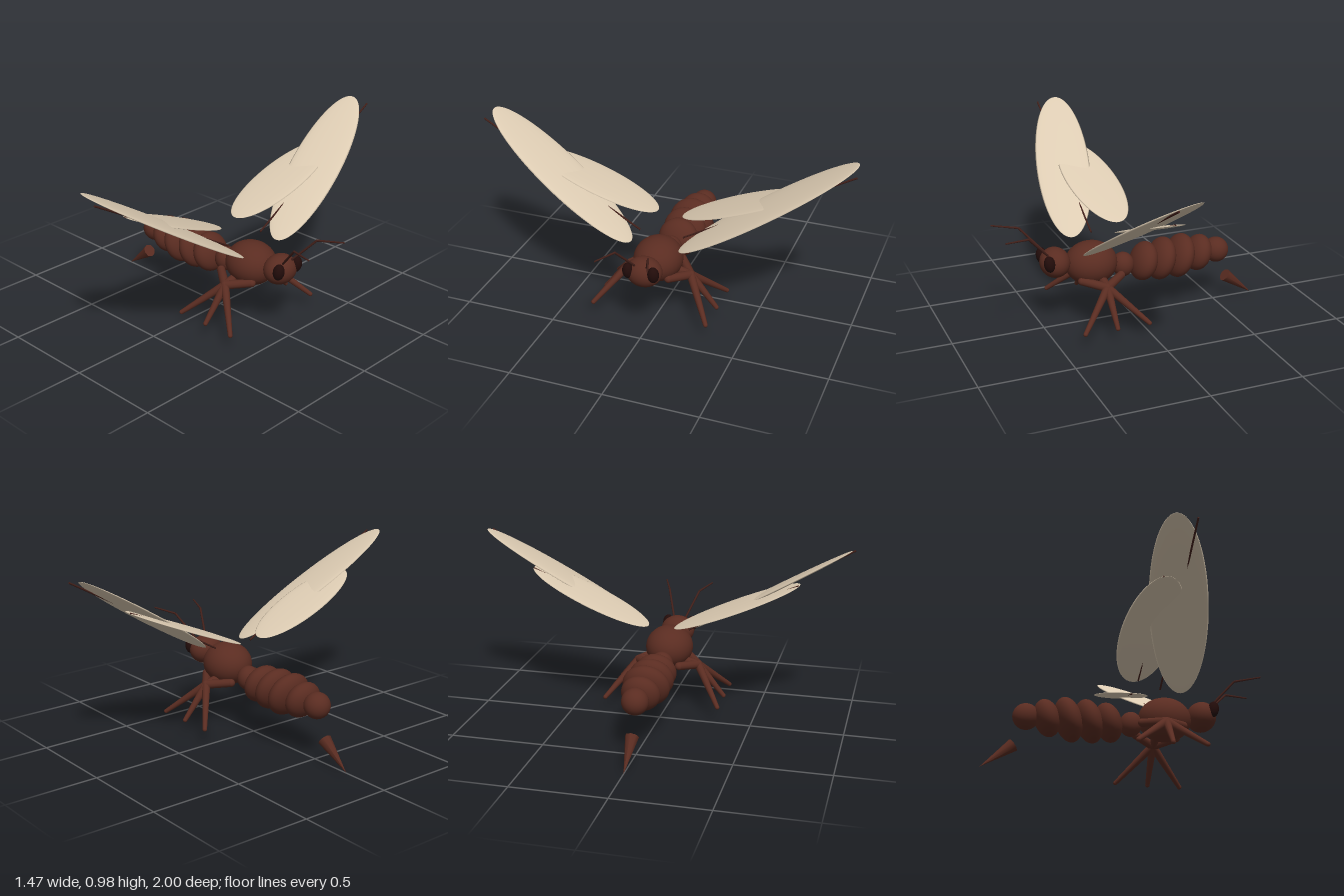
import * as THREE from 'three';

const mat = (name, color) => Object.assign(new THREE.MeshStandardMaterial({ color }), { name });

export function createModel() {
  const shell = mat('brown shell', 0x5a2c21);
  const dark = mat('dark eye', 0x220c0a);
  const vein = mat('dark limb', 0x42201a);
  const wingMat = mat('cream wing', 0xdccbb2);

  const model = new THREE.Group();
  model.name = 'wasp';
  const V = (a) => new THREE.Vector3(...a);
  const ball = new THREE.SphereGeometry(1, 32, 20);
  const wingBall = new THREE.SphereGeometry(1, 20, 32).rotateX(Math.PI / 2);

  function ellipsoid(name, material, pos, radii, geometry = ball) {
    const mesh = new THREE.Mesh(geometry, material);
    mesh.name = name;
    mesh.position.set(...pos);
    mesh.scale.set(...radii);
    model.add(mesh);
    return mesh;
  }

  // Tapered rod between two points
  function rod(name, material, from, to, r0, r1, sides = 12) {
    const a = V(from), b = V(to), dir = b.clone().sub(a);
    const mesh = new THREE.Mesh(new THREE.CylinderGeometry(r1, r0, dir.length(), sides), material);
    mesh.name = name;
    mesh.position.copy(a).add(b).multiplyScalar(0.5);
    mesh.quaternion.setFromUnitVectors(new THREE.Vector3(0, 1, 0), dir.normalize());
    model.add(mesh);
  }

  // Rod with rounded ends
  function limb(name, from, to, r0, r1) {
    rod(name, shell, from, to, r0, r1);
    ellipsoid(name + 'Top', shell, from, [r0, r0, r0]);
    ellipsoid(name + 'End', shell, to, [r1, r1, r1]);
  }

  // Body
  ellipsoid('head', shell, [0.43, 0.367, 0], [0.08, 0.08, 0.095]);
  ellipsoid('thorax', shell, [0.228, 0.335, 0], [0.142, 0.117, 0.13]);
  ellipsoid('waist', shell, [0.045, 0.295, 0], [0.06, 0.067, 0.062]);

  // Leaning abdomen rings: x, half thickness, height radius, width radius
  [[-0.075, 0.068, 0.107, 0.11], [-0.178, 0.068, 0.118, 0.12],
    [-0.287, 0.068, 0.121, 0.125], [-0.4, 0.066, 0.101, 0.102],
    [-0.51, 0.07, 0.07, 0.07]].forEach(([x, rx, ry, rz], i) => {
    ellipsoid('abdomenRing' + (i + 1), shell, [x, 0.295, 0], [rx, ry, rz]).rotation.z = 0.33;
  });

  // Stinger
  rod('stinger', shell, [-0.57, 0.13, 0], [-0.735, 0, 0], 0.036, 0, 8);

  for (const s of [1, -1]) {
    const side = s > 0 ? 'right' : 'left';

    ellipsoid(side + 'Eye', dark, [0.48, 0.388, 0.068 * s], [0.03, 0.045, 0.03]).rotation.z = -0.15;

    // Antenna
    const elbow = [0.595, 0.552, 0.088 * s];
    rod(side + 'AntennaBase', vein, [0.47, 0.415, 0.03 * s], elbow, 0.006, 0.006, 8);
    rod(side + 'AntennaTip', vein, elbow, [0.73, 0.567, 0.137 * s], 0.006, 0.004, 8);

    // Legs meet at a shared knee, then fan out
    const knee = [0.2, 0.252, 0.17 * s];
    for (const k of [-1, 0, 1]) {
      limb(side + 'UpperLeg', [0.2 + 0.11 * k, 0.272, 0.085 * s], knee, 0.022, 0.024);
      limb(side + 'LowerLeg', knee, [0.2 + 0.178 * k, 0.08, 0.315 * s], 0.023, 0.012);
    }

    // Wings: thin lenses raised outwards and swept
    const wing = (name, pos, radii, raise, sweep) => {
      ellipsoid(name, wingMat, pos, radii, wingBall).rotation.set(-raise * s, sweep * s, 0, 'YXZ');
    };
    wing(side + 'Forewing', [0.182, 0.708, 0.56 * s], [0.15, 0.013, 0.517], 0.553, -0.24);
    wing(side + 'Hindwing', [0.067, 0.645, 0.4 * s], [0.15, 0.009, 0.357], 0.388, 0.09);

    // Wing struts
    rod(side + 'ForeStrut', vein, [0.18, 0.455, 0.12 * s], [0.18, 0.957, 0.998 * s], 0.005, 0.005, 8);
    rod(side + 'HindStrut', vein, [0.07, 0.512, 0.085 * s], [0.07, 0.78, 0.725 * s], 0.004, 0.004, 8);
  }
  return model;
}
